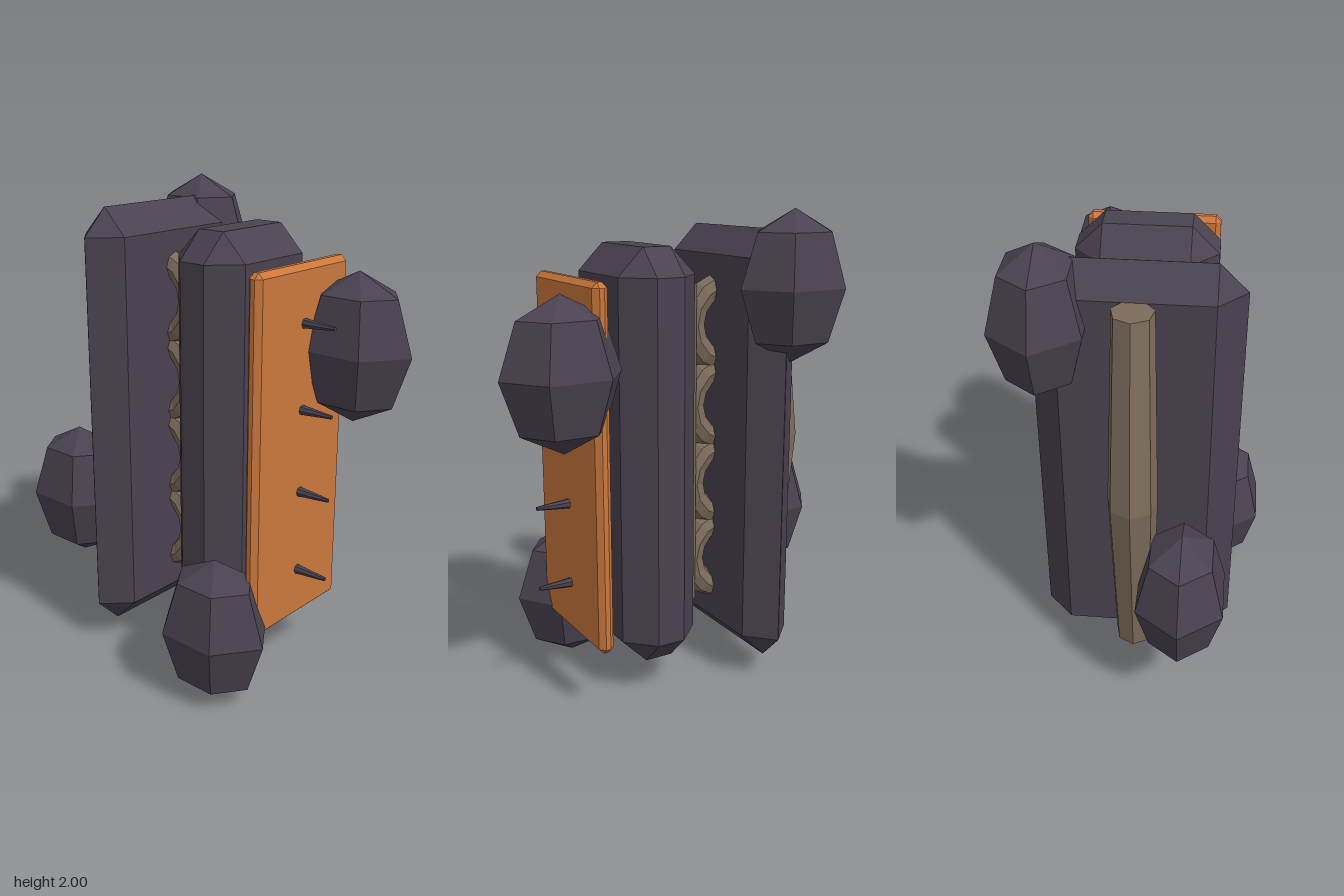
import * as THREE from 'three';
import { ConvexGeometry } from 'three/addons/geometries/ConvexGeometry.js';

const paint = (color) => new THREE.MeshStandardMaterial({ color, flatShading: true });

// Box of the given size with every edge cut off by one flat bevel
function chamferBox(w, h, d, b) {
  const [x, y, z] = [w / 2, h / 2, d / 2];
  const points = [];
  for (const i of [-1, 1]) for (const j of [-1, 1]) for (const k of [-1, 1]) {
    points.push(
      new THREE.Vector3(i * x, j * (y - b), k * (z - b)),
      new THREE.Vector3(i * (x - b), j * y, k * (z - b)),
      new THREE.Vector3(i * (x - b), j * (y - b), k * z));
  }
  return new ConvexGeometry(points);
}

export function createModel() {
  const model = new THREE.Group();
  model.name = 'stoneSandwich';
  const stone = paint(0x4a4250), bone = paint(0x7d6c5b), copper = paint(0xcb783c);

  const add = (name, geometry, material, x, y, z = 0) => {
    const mesh = new THREE.Mesh(geometry, material);
    mesh.name = name;
    mesh.position.set(x, y, z);
    model.add(mesh);
    return mesh;
  };

  // Upright slabs, inner post and copper plate
  add('ridgedSlab', chamferBox(0.222, 1.83, 0.8, 0.11), stone, -0.29, 1.005);
  add('thickSlab', chamferBox(0.34, 1.72, 0.57, 0.11), stone, 0.17, 1.0);
  add('innerPost', chamferBox(0.24, 1.49, 0.24, 0.06), bone, 0.04, 1.005);
  add('copperPlate', chamferBox(0.064, 1.48, 0.56, 0.022), copper, 0.458, 1.008);

  // Rings between the slabs, with a spike through the plate at each level
  for (let i = 0; i < 4; i++) {
    const y = 0.487 + i * 0.345;
    add(`ring${i + 1}`, new THREE.TorusGeometry(0.16, 0.056, 8, 14), bone, -0.25, y);
    const spike = add(`spike${i + 1}`, new THREE.CylinderGeometry(0.008, 0.038, 0.33, 7), stone, 0.465, y);
    spike.rotation.z = -Math.PI / 2;
  }

  // Bent limb: a faceted column pushed outward at mid height
  const limb = new THREE.CylinderGeometry(0.08, 0.08, 1.61, 7, 2);
  limb.rotateY(-Math.PI / 2);
  const p = limb.attributes.position;
  for (let i = 0; i < p.count; i++) {
    if (Math.abs(p.getY(i)) < 0.1) p.setXYZ(i, p.getX(i) * 1.25 - 0.07, 0, p.getZ(i) * 1.25);
  }
  add('bentLimb', limb, bone, -0.46, 1.005);

  // Faceted boulders
  const boulder = new THREE.SphereGeometry(1, 6, 4).scale(0.25, 0.303, 0.2);
  [[-0.35, 1.697, -0.35], [-0.6, 0.603, 0.2], [0.34, 0.304, 0.345], [0.592, 1.405, -0.203]]
    .forEach(([x, y, z], i) => add(`boulder${i + 1}`, boulder, stone, x, y, z));

  return model;
}
